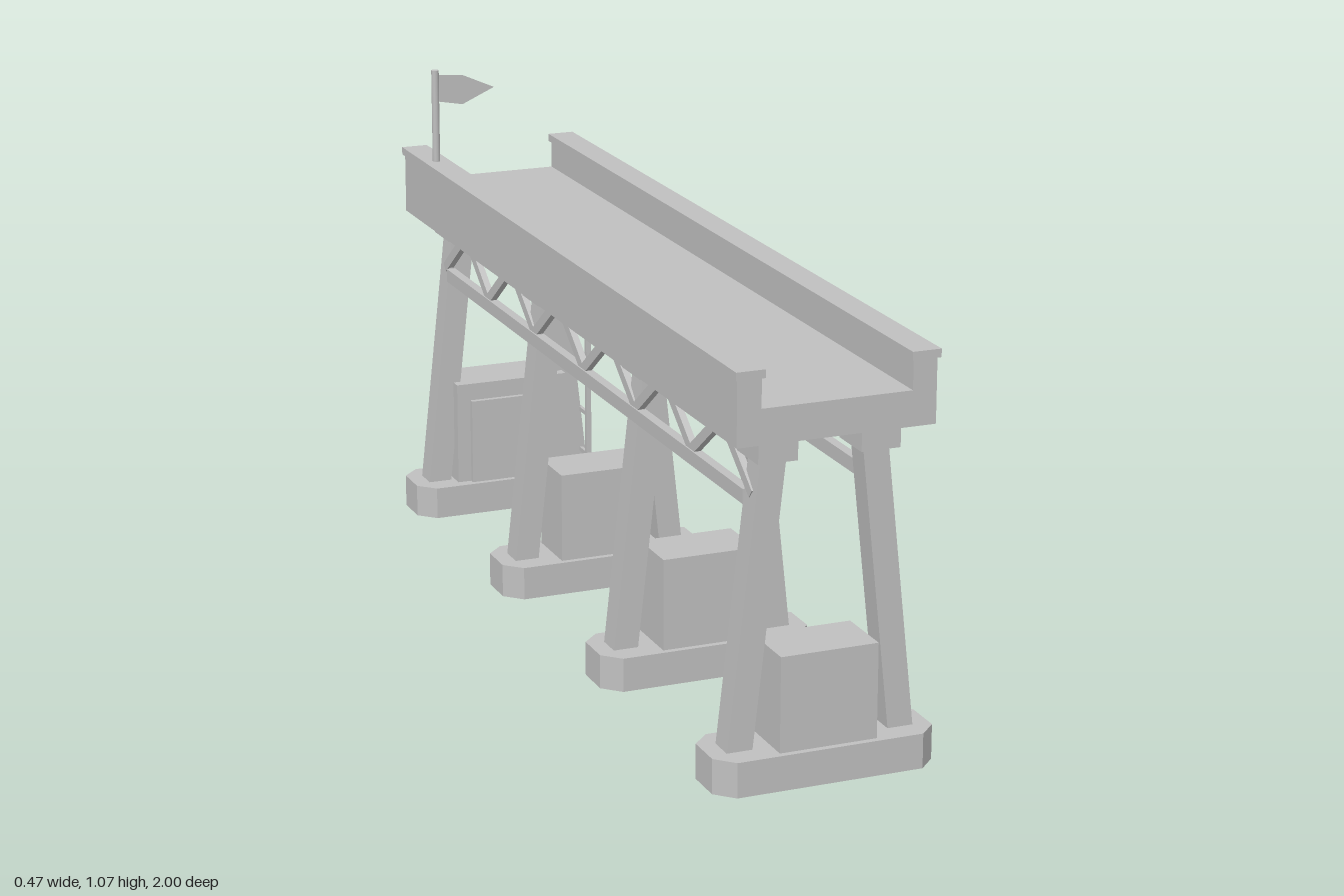
import * as THREE from 'three';

const stone = new THREE.MeshStandardMaterial({ color: 0xc0c0c0 });
stone.name = 'grey stone';
const sheet = new THREE.MeshStandardMaterial({ color: 0xc0c0c0, side: THREE.DoubleSide });
sheet.name = 'grey cloth';

function add(parent, name, geometry, material = stone) {
  const mesh = new THREE.Mesh(geometry, material);
  mesh.name = name;
  parent.add(mesh);
  return mesh;
}

// Box given by its limits on each axis
function box(parent, name, x0, x1, y0, y1, z0, z1) {
  const g = new THREE.BoxGeometry(x1 - x0, y1 - y0, z1 - z0);
  g.translate((x0 + x1) / 2, (y0 + y1) / 2, (z0 + z1) / 2);
  return add(parent, name, g);
}

function polygon(points) {
  return new THREE.Shape(points.map(([x, y]) => new THREE.Vector2(x, y)));
}

// Straight bar between two points in the plane at the given x
function bar(parent, name, x, y0, z0, y1, z1, thick, width) {
  const mesh = add(parent, name, new THREE.BoxGeometry(width, thick, Math.hypot(y1 - y0, z1 - z0)));
  mesh.position.set(x, (y0 + y1) / 2, (z0 + z1) / 2);
  mesh.rotation.x = -Math.atan2(y1 - y0, z1 - z0);
}

function createPier(z) {
  const pier = new THREE.Group();
  pier.name = 'pier';
  pier.position.z = z;

  // Footing with cut corners
  const w = 0.234, d = 0.078, c = 0.037;
  const footing = new THREE.ExtrudeGeometry(polygon([
    [-w, -d + c], [-w + c, -d], [w - c, -d], [w, -d + c],
    [w, d - c], [w - c, d], [-w + c, d], [-w, d - c],
  ]), { depth: 0.073, bevelEnabled: false });
  footing.rotateX(-Math.PI / 2);
  add(pier, 'footing', footing);

  // Leaning legs and their capitals
  for (const s of [-1, 1]) {
    const leg = new THREE.ExtrudeGeometry(polygon([
      [s * 0.144, 0.073], [s * 0.198, 0.073], [s * 0.134, 0.657], [s * 0.08, 0.657],
    ]), { depth: 0.055, bevelEnabled: false });
    leg.translate(0, 0, -0.0275);
    add(pier, 'leg', leg);
    box(pier, 'capital', s * 0.107 - 0.041, s * 0.107 + 0.041, 0.657, 0.706, -0.05, 0.05);
  }

  // Block between the legs
  box(pier, 'block', -0.103, 0.103, 0.073, 0.271, -0.065, 0.065);
  return pier;
}

export function createModel() {
  const model = new THREE.Group();
  model.name = 'bridge';

  // Deck with raised parapets
  const deck = new THREE.ExtrudeGeometry(polygon([
    [-0.206, 0.706], [0.206, 0.706], [0.206, 0.84], [0.156, 0.84],
    [0.156, 0.778], [-0.156, 0.778], [-0.156, 0.84], [-0.206, 0.84],
  ]), { depth: 1.931, bevelEnabled: false });
  deck.translate(0, 0, -0.938);
  add(model, 'deck', deck);
  for (const s of [-1, 1]) {
    box(model, 'parapetCoping', s * 0.181 - 0.03, s * 0.181 + 0.03, 0.839, 0.856, -0.944, 1);
  }

  // Piers
  const piers = [0.912, 0.323, -0.265, -0.853];
  piers.forEach((z) => model.add(createPier(z)));

  // Small handles on the blocks
  for (const [z, side] of [[0.912, -1], [0.323, -1], [-0.265, 1]]) {
    const face = z + side * 0.067;
    box(model, 'blockHandle', 0.07, 0.077, 0.15, 0.187, face - 0.004, face + 0.004);
  }

  // Side trusses: lower chord and zigzag braces
  for (const s of [-1, 1]) {
    const x = s * 0.137;
    box(model, 'trussChord', x - 0.01, x + 0.01, 0.557, 0.587, -0.826, 0.888);
    for (let i = 0; i < 6; i++) {
      const peak = 0.77 - i * 0.2945;
      bar(model, 'trussBrace', x, 0.585, peak + 0.147, 0.695, peak, 0.022, 0.014);
      bar(model, 'trussBrace', x, 0.695, peak, 0.585, peak - 0.147, 0.022, 0.014);
    }
  }

  // Gatehouse at the back
  box(model, 'gatehouse', -0.135, 0.135, 0.073, 0.311, -0.932, -0.8);
  box(model, 'doorStep', -0.098, 0.052, 0, 0.022, -1, -0.93);
  box(model, 'doorLintel', -0.098, 0.052, 0.2, 0.222, -0.968, -0.93);
  box(model, 'doorJamb', -0.088, -0.07, 0.022, 0.2, -0.956, -0.93);
  box(model, 'doorJamb', 0.024, 0.042, 0.022, 0.2, -0.956, -0.93);
  box(model, 'door', -0.07, 0.024, 0.022, 0.2, -0.938, -0.93);
  box(model, 'doorHandle', -0.06, -0.05, 0.1, 0.12, -0.946, -0.937);

  // Ladder on the left side
  for (const z of [-0.779, -0.872]) {
    box(model, 'ladderRail', 0.178, 0.19, 0.07, 0.706, z - 0.005, z + 0.005);
  }
  for (let i = 0; i < 6; i++) {
    const y = 0.11 + i * 0.1;
    box(model, 'ladderRung', 0.18, 0.188, y - 0.005, y + 0.005, -0.872, -0.779);
  }

  // Flagpole and pennant
  const pole = add(model, 'flagpole', new THREE.CylinderGeometry(0.0085, 0.0085, 0.227, 10));
  pole.position.set(-0.182, 0.9535, -0.784);
  const pennant = new THREE.ShapeGeometry(polygon([
    [-0.176, 0.994], [-0.117, 0.983], [-0.041, 1.017], [-0.117, 1.051], [-0.176, 1.056],
  ]));
  add(model, 'pennant', pennant, sheet).position.z = -0.784;

  return model;
}
